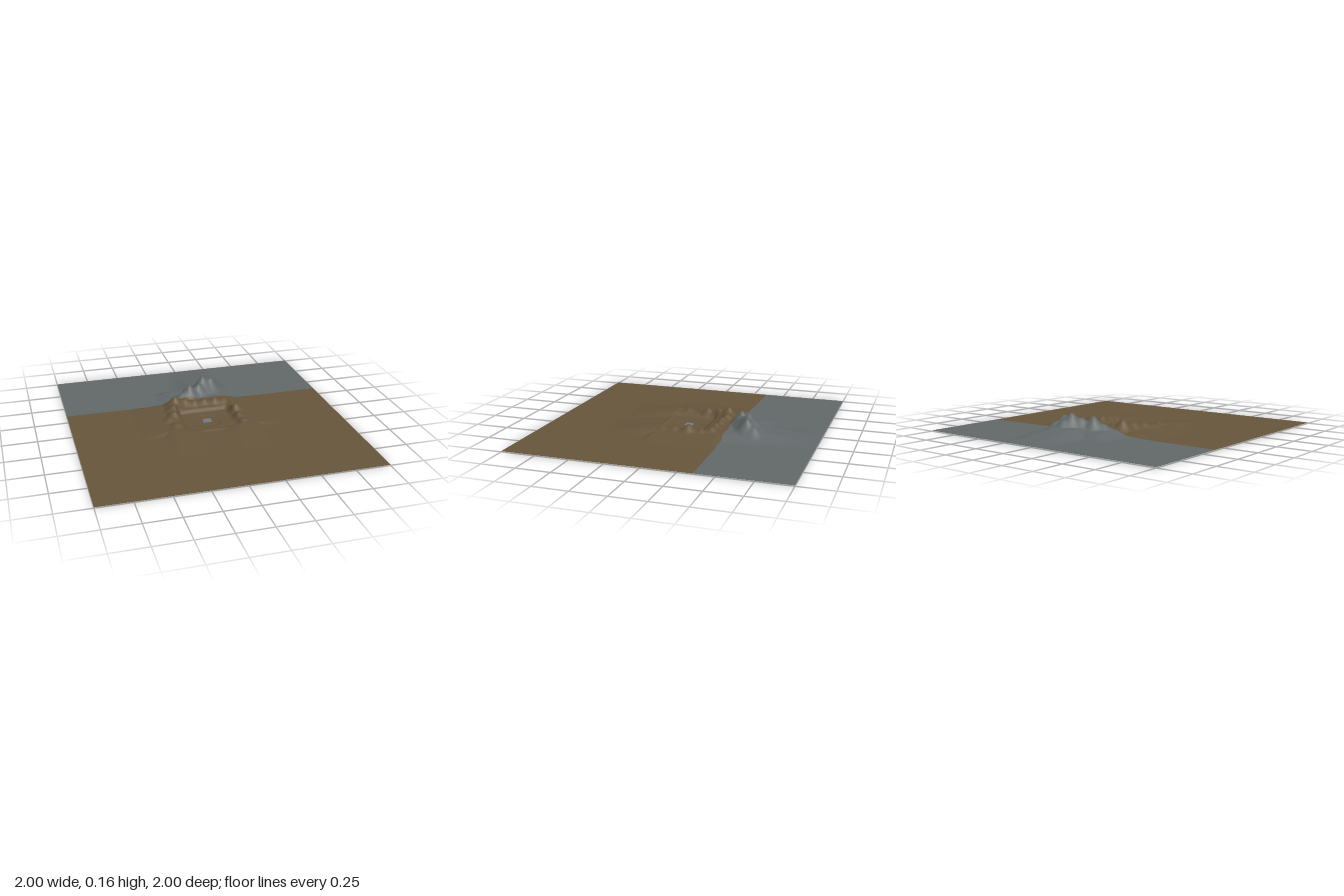
import * as THREE from 'three';

const BASE = 0.005;

// Summits: x, z, height, radius
const SUMMITS = [
  // left range
  [-0.28, 0.15, 0.035, 0.06], [-0.25, 0.08, 0.05, 0.055], [-0.28, -0.02, 0.05, 0.055],
  [-0.23, -0.08, 0.07, 0.055], [-0.21, -0.17, 0.08, 0.06], [-0.18, -0.26, 0.108, 0.06],
  // back range
  [-0.1, -0.27, 0.075, 0.055], [-0.03, -0.25, 0.065, 0.05], [0.05, -0.26, 0.065, 0.05],
  [0.13, -0.25, 0.07, 0.05], [0.2, -0.24, 0.062, 0.055],
  // right range
  [0.25, -0.17, 0.05, 0.05], [0.25, -0.08, 0.078, 0.055], [0.24, 0.03, 0.055, 0.055],
  [0.25, 0.12, 0.045, 0.055],
  // high rocky ridge
  [-0.1, -0.37, 0.075, 0.06], [-0.03, -0.4, 0.128, 0.06], [0.05, -0.43, 0.112, 0.06],
  [0.1, -0.485, 0.152, 0.07], [0.17, -0.49, 0.13, 0.06], [0.2, -0.55, 0.085, 0.06],
  [0.13, -0.55, 0.095, 0.06],
];

const ramp = (a, b, v) => THREE.MathUtils.smoothstep(v, a, b);
const band = (v, a, b, soft) => ramp(a - soft, a, v) * (1 - ramp(b, b + soft, v));

// Terrain height at any point
function height(x, z) {
  // summits merged with a soft maximum, steep near the top
  let sum = 0;
  for (const [px, pz, h, r] of SUMMITS) {
    const d = Math.hypot(x - px, z - pz) / r;
    if (d < 4) sum += Math.pow(h * Math.exp(-0.75 * Math.pow(d, 1.6)), 4);
  }
  const peaks = Math.pow(sum, 0.25);

  // long straight foothills running outwards
  const side = 0.026 * Math.max(0, Math.min(1, (0.53 - Math.abs(x)) / 0.22)) * band(z, -0.3, 0.15, 0.06);
  const front = 0.032 * Math.max(0, Math.min(1, (0.52 - z) / 0.34))
    * band(z, 0.17, 1, 0.03) * (0.2 + 0.8 * band(Math.abs(x), 0.2, 0.27, 0.14)) * (1 - ramp(0.3, 0.46, Math.abs(x)));
  const back = 0.056 * Math.max(0, Math.min(1, (z + 1) / 0.42))
    * band(x, 0.04, 0.17, 0.17) * (1 - ramp(-0.45, -0.3, z));
  const shoulder = 0.035 * band(x, -0.15, 0.22, 0.15) * band(z, -0.52, -0.25, 0.08);

  // level courtyard with a shallow basin
  const yard = band(x, -0.16, 0.18, 0.05) * band(z, -0.14, 0.14, 0.045);
  const basin = 0.005 * (1 - ramp(0.09, 0.12, Math.hypot(x, z)));
  const hills = Math.max(peaks, side, front, back, shoulder);
  return BASE + hills * (1 - yard) - basin;
}

// Slightly wavy border between earth and rock
function border(x) {
  const middle = Math.exp(-Math.pow(x / 0.5, 2));
  return -0.355 + 0.02 * middle + 0.004 * middle * Math.sin(x * 31);
}

// Height-field sheet between two z limits, with normals taken from the slope
function sheet(zBack, zFront, rows) {
  const geo = new THREE.PlaneGeometry(2, 2, 150, rows).rotateX(-Math.PI / 2);
  const pos = geo.attributes.position, nor = geo.attributes.normal;
  const n = new THREE.Vector3(), e = 0.006;
  for (let i = 0; i < pos.count; i++) {
    // columns are packed more closely near the middle
    const u = pos.getX(i), t = (pos.getZ(i) + 1) / 2;
    const x = 0.55 * u + 0.45 * u * u * u;
    const z = THREE.MathUtils.lerp(zBack(x), zFront(x), t);
    pos.setXYZ(i, x, height(x, z), z);
    n.set(height(x - e, z) - height(x + e, z), 2 * e, height(x, z - e) - height(x, z + e)).normalize();
    nor.setXYZ(i, n.x, n.y, n.z);
  }
  return geo;
}

export function createModel() {
  const group = new THREE.Group();
  group.name = 'mountainTerrain';
  const material = (name, color) => {
    const m = new THREE.MeshStandardMaterial({ color, side: THREE.DoubleSide });
    m.name = name;
    return m;
  };
  const add = (name, geo, mat) => {
    const mesh = new THREE.Mesh(geo, mat);
    mesh.name = name;
    group.add(mesh);
    return mesh;
  };

  // Brown earth at the front, grey rock at the back
  add('earthGround', sheet(border, () => 1, 110), material('earthBrown', 0x66553c));
  add('rockGround', sheet(() => -1, border, 60), material('rockGrey', 0x626869));

  // Small slab in the middle of the courtyard
  const outline = [[-0.03, -0.025], [0.035, -0.025], [0.035, 0.035], [-0.008, 0.035], [-0.015, 0.028], [-0.03, 0.024]];
  const shape = new THREE.Shape(outline.map(([x, y]) => new THREE.Vector2(x, y)));
  const slab = new THREE.ExtrudeGeometry(shape, { depth: 0.003, bevelEnabled: false }).rotateX(-Math.PI / 2);
  add('centreSlab', slab, material('slabGrey', 0x737a85)).position.y = 0.001;

  return group;
}
